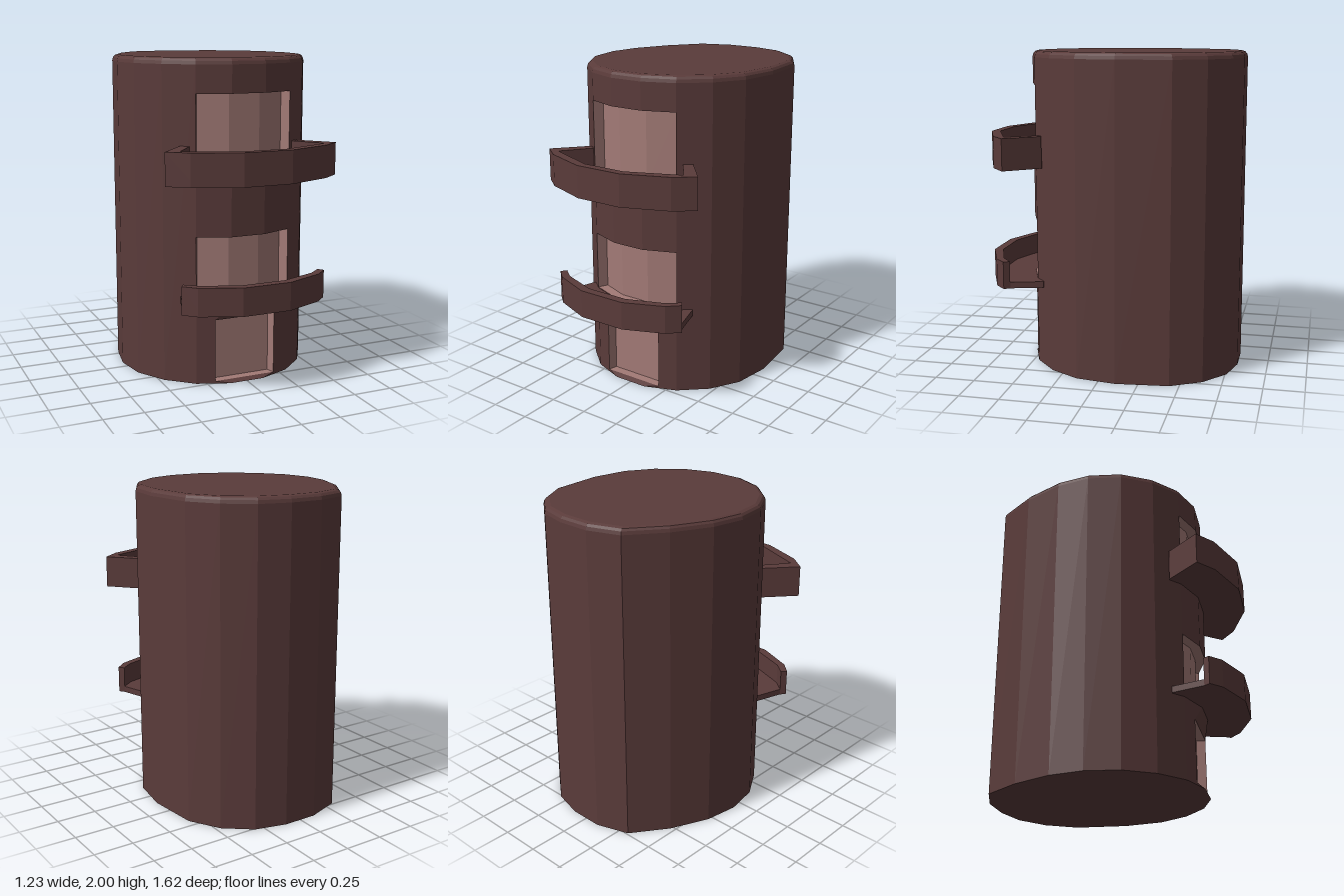
import * as THREE from 'three';

const bark = new THREE.MeshStandardMaterial({ color: 0x5a3b3a, flatShading: true });
const pink = new THREE.MeshStandardMaterial({ color: 0xa27a76, flatShading: true });

// Plan outline of the tower as [x, z], starting at the front left window edge
const hull = [
  [-0.31, 0.465], [-0.11, 0.54], [0.11, 0.54], [0.31, 0.465], [0.47, 0.325], [0.577, 0.14],
  [0.615, -0.11], [0.58, -0.44], [0.47, -0.63], [0.305, -0.76], [0.11, -0.81], [-0.105, -0.81],
  [-0.31, -0.74], [-0.47, -0.52], [-0.58, -0.28], [-0.615, -0.07], [-0.58, 0.14], [-0.47, 0.325],
];
const FRONT = 3; // the first three facets carry the windows and door
const at = ([x, z], y) => [x, y, z];

// Collects convex faces into one flat-shaded mesh
function faceSet() {
  const pos = [];
  const face = (...p) => {
    for (let i = 1; i < p.length - 1; i++) pos.push(...p[0], ...p[i], ...p[i + 1]);
  };
  const mirrored = (...p) => {
    face(...p);
    face(...p.map(([x, y, z]) => [-x, y, z]).reverse());
  };
  const wall = (p, q, y0, y1) => face(at(p, y0), at(q, y0), at(q, y1), at(p, y1));
  const mesh = (name, material) => {
    const g = new THREE.BufferGeometry();
    g.setAttribute('position', new THREE.Float32BufferAttribute(pos, 3));
    g.computeVertexNormals();
    const m = new THREE.Mesh(g, material);
    m.name = name;
    return m;
  };
  return { face, mirrored, wall, mesh };
}

const windows = [[0.56, 0.93], [1.33, 1.79]];
const doorTop = 0.41, lintel = 0.515, sill = 0.015, jambX = 0.2, jambZ = 0.506;

function tower() {
  const s = faceSet();
  const n = hull.length;
  const bands = [[lintel, 0.56], [0.93, 1.33], [1.79, 1.96]];
  for (let i = 0; i < n; i++) {
    const p = hull[i], q = hull[(i + 1) % n];
    if (i < FRONT) bands.forEach(([a, b]) => s.wall(p, q, a, b));
    else s.wall(p, q, 0, 1.96);
  }
  // Rounded top rim and caps
  const rim = [[1.96, 1], [1.98, 0.992], [1.993, 0.975], [2, 0.945]];
  const ring = ([y, k]) => hull.map(([x, z]) => [x * k, y, (z + 0.13) * k - 0.13]);
  for (let r = 0; r < rim.length - 1; r++) {
    const a = ring(rim[r]), b = ring(rim[r + 1]);
    a.forEach((p, i) => s.face(p, a[(i + 1) % n], b[(i + 1) % n], b[i]));
  }
  s.face(...ring(rim[3]));
  s.face(...ring([0, 1]).reverse());
  // Front around the doorway
  const low = at(hull[0], 0), high = at(hull[0], lintel);
  const foot = at(hull[1], 0), brow = at(hull[1], lintel);
  const j0 = [-jambX, sill, jambZ], j1 = [-jambX, doorTop, jambZ];
  const flip = ([x, y, z]) => [-x, y, z];
  s.mirrored(low, foot, j0);
  s.mirrored(low, j0, j1, high);
  s.mirrored(high, j1, brow);
  s.face(j1, flip(j1), flip(brow), brow);
  s.face(foot, flip(foot), flip(j0), j0);
  return s.mesh('tower', bark);
}

// Pocket sunk into the front: side, back, floor and ceiling faces
function recess(name, outer, inner, y0, y1) {
  const s = faceSet();
  const path = [outer[0], ...inner, outer[outer.length - 1]];
  for (let i = 0; i < path.length - 1; i++) s.wall(path[i], path[i + 1], y0, y1);
  for (let i = 0; i < outer.length - 1; i++) {
    const strip = [outer[i], outer[i + 1], inner[i + 1], inner[i]];
    s.face(...strip.map(p => at(p, y0)));
    s.face(...strip.map(p => at(p, y1)).reverse());
  }
  return s.mesh(name, pink);
}

// Upright slab from half a plan outline, mirrored in x
function slab(name, half, y0, y1) {
  const pts = [...half, ...half.map(([x, z]) => [-x, z]).reverse()];
  const shape = new THREE.Shape(pts.map(([x, z]) => new THREE.Vector2(x, z)));
  const g = new THREE.ExtrudeGeometry(shape, { depth: y1 - y0, bevelEnabled: false });
  g.rotateX(Math.PI / 2).translate(0, y1, 0);
  const m = new THREE.Mesh(g, bark);
  m.name = name;
  return m;
}

// Curved railing: outer edge to the centre line, mirrored, then back along the inner edge
function railing(name, outer, inner, y0, y1) {
  const flip = ([x, z]) => [-x, z];
  const pts = [...outer, ...outer.map(flip).reverse(), ...inner.map(flip), ...[...inner].reverse()];
  const shape = new THREE.Shape(pts.map(([x, z]) => new THREE.Vector2(x, z)));
  const g = new THREE.ExtrudeGeometry(shape, { depth: y1 - y0, bevelEnabled: false });
  g.rotateX(Math.PI / 2).translate(0, y1, 0);
  const m = new THREE.Mesh(g, bark);
  m.name = name;
  return m;
}

export function createModel() {
  const model = new THREE.Group();
  model.name = 'tower house';
  model.add(tower());

  const windowBack = [[-0.28, 0.405], [-0.1, 0.475], [0.1, 0.475], [0.28, 0.405]];
  windows.forEach(([a, b], i) =>
    model.add(recess(i ? 'upperWindow' : 'lowerWindow', hull.slice(0, 4), windowBack, a, b)));
  model.add(recess('doorway', [[-jambX, jambZ], [jambX, jambZ]],
    [[-0.185, 0.45], [0.185, 0.45]], sill, doorTop));

  // Upper balcony, walled all the way back to the tower
  const upper = new THREE.Group();
  upper.name = 'upperBalcony';
  const edge = [[0.39, 0.405], [0.558, 0.605], [0.44, 0.7], [0.155, 0.81]];
  upper.add(
    slab('upperBalconyFloor', edge, 1.28, 1.325),
    railing('upperBalconyRailing', edge, [[0.33, 0.425], [0.47, 0.62], [0.145, 0.755]], 1.325, 1.48));

  // Lower balcony, with a railing along the front only
  const lower = new THREE.Group();
  lower.name = 'lowerBalcony';
  const lip = [[0.475, 0.64], [0.4, 0.71], [0.155, 0.81]];
  lower.add(
    slab('lowerBalconyFloor', [[0.39, 0.405], [0.45, 0.605], ...lip], 0.515, 0.555),
    railing('lowerBalconyRailing', lip, [[0.45, 0.605], [0.37, 0.67], [0.14, 0.755]], 0.555, 0.69));

  model.add(upper, lower);
  return model;
}
